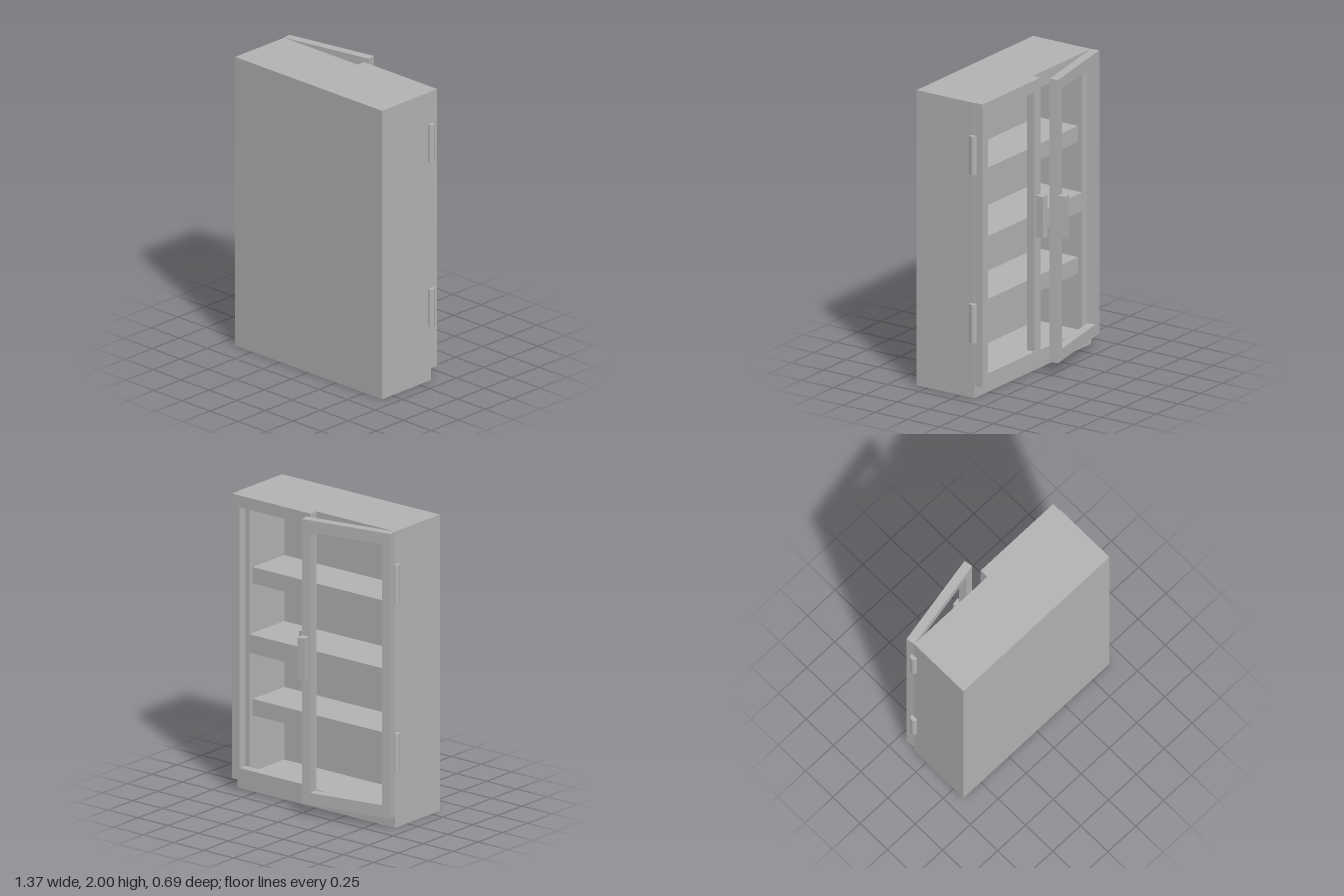
import * as THREE from 'three';

const grey = new THREE.MeshStandardMaterial({ color: 0xb3b3b3 });
grey.name = 'plain grey';

function add(parent, name, geometry, x = 0, y = 0, z = 0) {
  const mesh = new THREE.Mesh(geometry, grey);
  mesh.name = name;
  mesh.position.set(x, y, z);
  parent.add(mesh);
  return mesh;
}

// Rectangular frame with a rectangular opening, extruded along +z
function frame(outer, inner, depth) {
  const corners = ([x0, y0, x1, y1]) =>
    [[x0, y0], [x1, y0], [x1, y1], [x0, y1]].map(p => new THREE.Vector2(...p));
  const shape = new THREE.Shape(corners(outer));
  shape.holes.push(new THREE.Path(corners(inner)));
  return new THREE.ExtrudeGeometry(shape, { depth, bevelEnabled: false });
}

// Door running from its hinge edge (x = 0) toward +x or -x, with a pull at the free edge
function makeDoor(name, dir) {
  const door = new THREE.Group();
  door.name = name;
  const w = 0.65, t = 0.06, stile = 0.063;
  const span = (a, b) => dir > 0 ? [a, b] : [-b, -a];
  const [x0, x1] = span(0, w);
  const [i0, i1] = span(stile, w - stile);
  add(door, 'doorFrame', frame([x0, 0.08, x1, 2], [i0, 0.16, i1, 1.92], t), 0, 0, -t);
  add(door, 'doorHandle', new THREE.BoxGeometry(0.05, 0.28, 0.055),
    dir * (w - 0.025), 1.075, -t - 0.0275);
  return door;
}

export function createModel() {
  const model = new THREE.Group();
  model.name = 'cabinet';

  // Carcass: open shell and closed rear panel
  add(model, 'cabinetShell',
    frame([-0.655, 0, 0.655, 2], [-0.555, 0.12, 0.555, 1.9], 0.352), 0, 0, -0.112);
  add(model, 'closedPanel', new THREE.BoxGeometry(1.31, 2, 0.1), 0, 1, 0.29);

  // Shelves: bottom, top, front edge; the middle one is flush with the shell
  const shelves = [[0.5, 0.61, -0.08], [0.93, 1.055, -0.112], [1.39, 1.5, -0.08]];
  for (const [low, high, front] of shelves) {
    add(model, 'shelf', new THREE.BoxGeometry(1.11, high - low, 0.24 - front),
      0, (low + high) / 2, (0.24 + front) / 2);
  }

  // One closed door and one standing ajar
  const closedDoor = makeDoor('closedDoor', -1);
  closedDoor.position.set(0.65, 0, -0.112);
  const openDoor = makeDoor('openDoor', 1);
  openDoor.position.set(-0.655, 0, -0.112);
  openDoor.rotation.y = 0.187;
  model.add(closedDoor, openDoor);

  // Hinge barrels
  for (const side of [-1, 1]) {
    for (const y of [0.51, 1.65]) {
      add(model, 'hinge', new THREE.CylinderGeometry(0.024, 0.024, 0.26, 20),
        side * 0.66, y, -0.108);
    }
  }
  return model;
}
